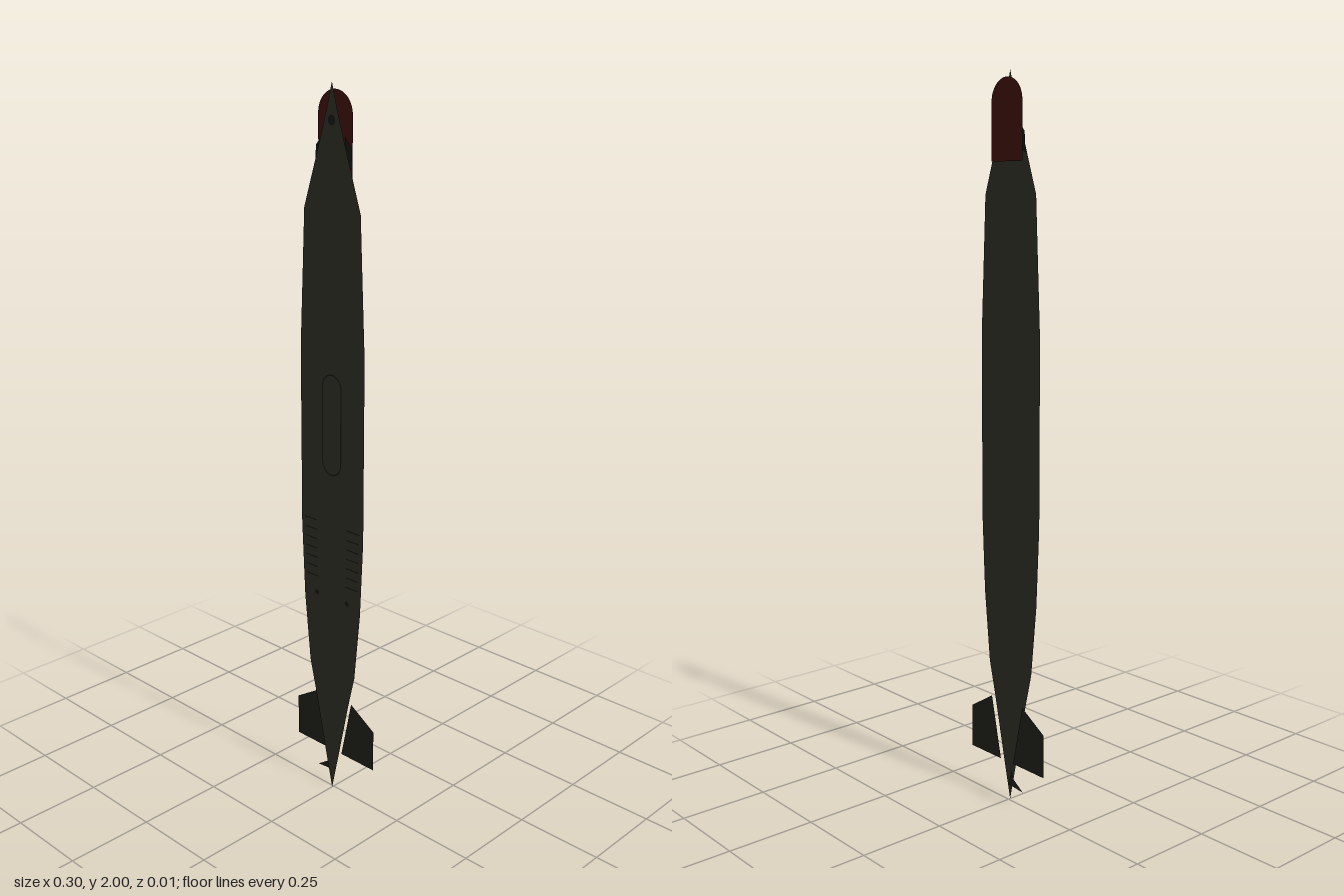
import * as THREE from 'three';

// Flat layers: rear parts sit just behind the hull, markings just in front
const REAR = -0.006, HULL = 0.006, MARK = 0.0075;

const mat = (color) => new THREE.MeshStandardMaterial({ color, side: THREE.DoubleSide });
const hullMat = mat(0x33332a), finMat = mat(0x22221b), redMat = mat(0x421410), lineMat = mat(0x191b18);

const polygon = (pts) => new THREE.Shape(pts.map(([x, y]) => new THREE.Vector2(x, y)));
const mirrored = (pts) => pts.map(([x, y]) => [-x, y]).reverse();

// Upright capsule outline
function capsule(ShapeType, r, y0, y1) {
  const s = new ShapeType();
  s.absarc(0, y1 - r, r, 0, Math.PI, false);
  s.absarc(0, y0 + r, r, Math.PI, Math.PI * 2, false);
  s.closePath();
  return s;
}

export function createModel() {
  const group = new THREE.Group();
  const add = (name, geometry, material, z, x = 0, y = 0) => {
    const mesh = new THREE.Mesh(geometry, material);
    mesh.name = name;
    mesh.position.set(x, y, z);
    group.add(mesh);
  };
  const addPolygon = (name, pts, material, z) =>
    add(name, new THREE.ShapeGeometry(polygon(pts)), material, z);

  // Long tapered hull, pointed at both ends
  const half = [
    [0.018, 1.935], [0.045, 1.85], [0.1, 1.685], [0.107, 1.53], [0.117, 1.315],
    [0.117, 0.81], [0.107, 0.59], [0.087, 0.39], [0.064, 0.294], [0.026, 0.117],
  ];
  addPolygon('hull', [[0, 2], ...half, [0, 0], ...mirrored(half)], hullMat, HULL);

  // Rounded red nose cap behind the tip
  const cap = new THREE.Shape();
  cap.moveTo(-0.06, 1.77);
  cap.lineTo(0.06, 1.77);
  cap.lineTo(0.06, 1.922);
  cap.absarc(0, 1.922, 0.06, 0, Math.PI, false);
  cap.closePath();
  add('noseCap', new THREE.ShapeGeometry(cap, 16), redMat, REAR);

  // Paired parts
  const fin = [[0.064, 0.294], [0.151, 0.24], [0.151, 0.117], [0.026, 0.117]];
  const cheek = [[0.038, 1.87], [0.062, 1.845], [0.066, 1.79], [0.05, 1.8]];
  for (const [side, sign] of [['left', 1], ['right', -1]]) {
    const flip = (pts) => (sign > 0 ? pts : mirrored(pts));
    addPolygon(`${side}TailFin`, flip(fin), finMat, REAR);
    addPolygon(`${side}NoseCheek`, flip(cheek), lineMat, 0);
    // Row of vent slits, with a rivet below
    for (let i = 0; i < 7; i++) {
      add(`${side}Vent`, new THREE.PlaneGeometry(0.046, 0.004), lineMat, MARK,
        sign * (0.081 - i * 0.001), 0.83 - i * 0.028);
    }
    add(`${side}Rivet`, new THREE.CircleGeometry(0.008, 12), lineMat, MARK, sign * 0.058, 0.612);
  }

  // Small barb at the tail tip
  addPolygon('tailBarb', [[-0.067, 0.045], [-0.03, 0.07], [-0.018, 0.095], [-0.008, 0.05]], finMat, REAR);

  // Thin outline of the hatch
  const hatch = capsule(THREE.Shape, 0.036, 0.974, 1.257);
  hatch.holes.push(capsule(THREE.Path, 0.032, 0.978, 1.253));
  add('hatchOutline', new THREE.ShapeGeometry(hatch, 16), lineMat, MARK);

  // Dark spot near the nose tip
  add('noseSpot', new THREE.CircleGeometry(0.013, 16), lineMat, MARK, 0, 1.908);

  return group;
}
